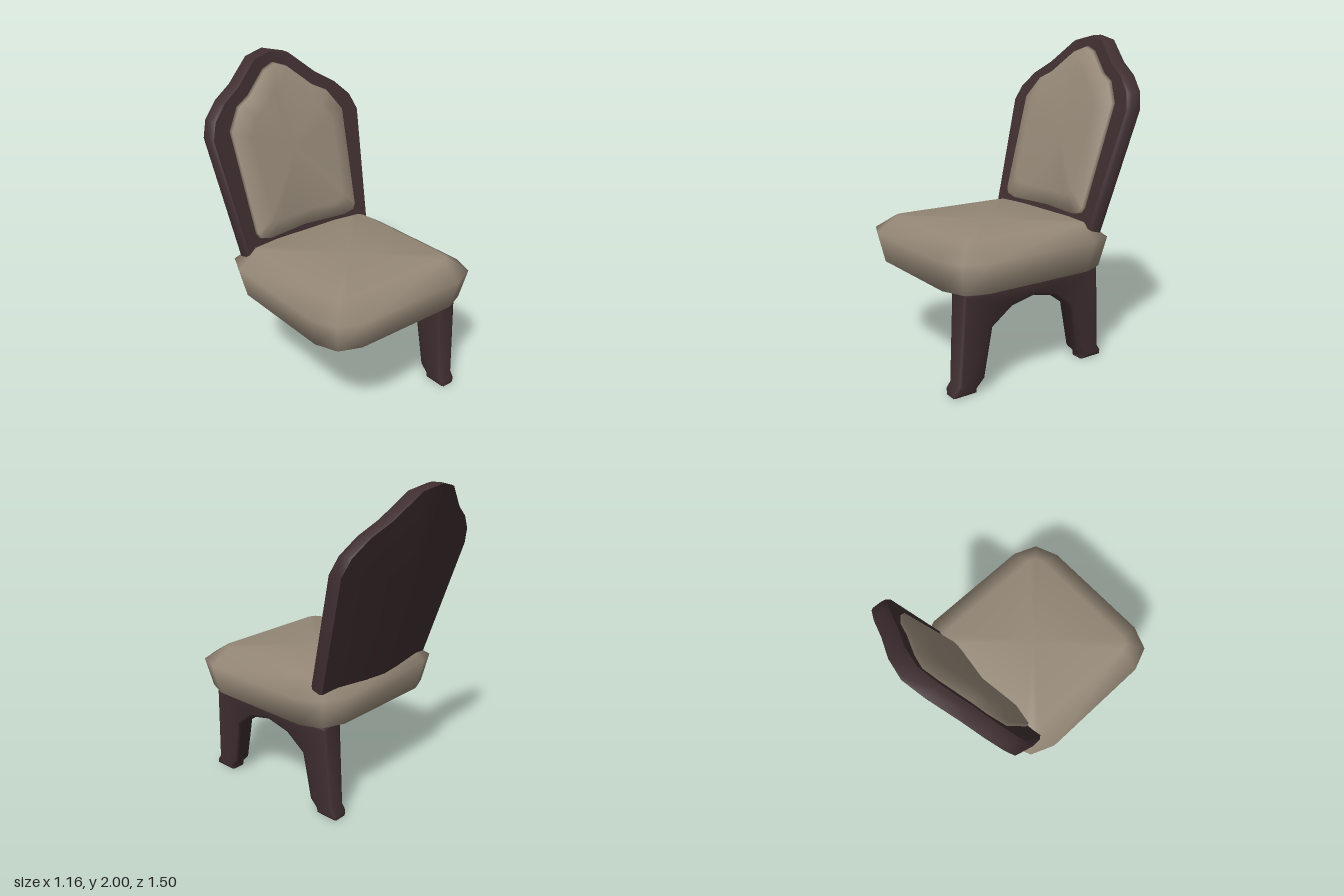
import * as THREE from 'three';
import { toCreasedNormals } from 'three/addons/utils/BufferGeometryUtils.js';

const fabric = new THREE.MeshStandardMaterial({ color: 0x958877 });
fabric.name = 'taupeFabric';
const wood = new THREE.MeshStandardMaterial({ color: 0x3f2e30 });
wood.name = 'darkWood';

// Skin matching loops of points, closing both ends with a fan around a centre point
function loft(loops, startCentre, endCentre) {
  const n = loops[0].length, last = (loops.length - 1) * n;
  const points = [...loops.flat(), startCentre, endCentre];
  const start = points.length - 2, end = points.length - 1;
  const index = [];
  for (let j = 0; j < n; j++) {
    const k = (j + 1) % n;
    for (let i = 0; i < last; i += n) {
      index.push(i + j, i + k, i + n + k, i + j, i + n + k, i + n + j);
    }
    index.push(start, k, j, end, last + j, last + k);
  }
  const geo = new THREE.BufferGeometry();
  geo.setAttribute('position', new THREE.Float32BufferAttribute(points.flat(), 3));
  geo.setIndex(index);
  geo.computeVertexNormals();
  return geo;
}

function add(group, name, geo, material) {
  const mesh = new THREE.Mesh(geo, material);
  mesh.name = name;
  group.add(mesh);
}

const SEAT_Z = 0.165;

// Square seat loop: half width h, corner start a, corner middle inset b
function seatLoop([y, h, a, b]) {
  const loop = [];
  for (let side = 0; side < 4; side++) {
    for (let [x, z] of [[h - a, h], [h - b, h - b], [h, h - a]]) {
      for (let r = 0; r < side; r++) [x, z] = [z, -x];
      loop.push([x, y, z + SEAT_Z]);
    }
  }
  return loop;
}

// Front surface of the backrest: leaning back and folded gently at the middle
const backZ = (x, y) => -0.225 - 0.31 * (y - 0.86) - 0.075 * (1 - Math.abs(x) / 0.58);

// Mirror a half outline, shrink it about (0, cy) and lay it on the backrest surface
function backLoop(half, cy, sx, sy, offset) {
  const mirrored = half.slice(1, -1).reverse().map(([x, y]) => [-x, y]);
  return [...half, ...mirrored].map(([x, y]) => {
    const px = x * sx, py = cy + (y - cy) * sy;
    return [px, py, backZ(px, py) + offset];
  });
}

export function createModel() {
  const chair = new THREE.Group();
  chair.name = 'chair';

  // Padded seat
  const seatLoops = [
    [0.58, 0.44, 0.03, 0.01],
    [0.61, 0.54, 0.19, 0.055],
    [0.795, 0.58, 0.21, 0.06],
    [0.88, 0.44, 0.06, 0.018],
  ].map(seatLoop);
  add(chair, 'seatCushion', loft(seatLoops, [0, 0.58, SEAT_Z], [0, 0.88, SEAT_Z]), fabric);

  // Wooden board under the seat
  const board = new THREE.BoxGeometry(0.89, 0.02, 0.89).translate(0, 0.586, SEAT_Z);
  add(chair, 'seatBase', board, wood);

  // Backrest panel with a peaked top
  const frame = [[0, 0.82], [0.495, 0.82], [0.58, 1.56], [0.54, 1.66], [0.44, 1.755],
    [0.31, 1.83], [0.14, 1.97], [0, 2]];
  const panel = loft([
    backLoop(frame, 1.4, 0.99, 0.995, -0.1),
    backLoop(frame, 1.4, 1, 1, -0.085),
    backLoop(frame, 1.4, 0.995, 0.998, -0.025),
    backLoop(frame, 1.4, 0.965, 0.985, 0),
  ], [0, 1.4, backZ(0, 1.4) - 0.1], [0, 1.4, backZ(0, 1.4)]);
  add(chair, 'backrestFrame', toCreasedNormals(panel, 0.9), wood);

  // Backrest padding
  const pad = [[0, 0.905], [0.305, 0.905], [0.38, 0.925], [0.4, 0.96], [0.435, 1.59],
    [0.345, 1.72], [0.25, 1.765], [0.09, 1.9], [0, 1.93]];
  const padding = loft([
    backLoop(pad, 1.4, 1, 1, -0.01),
    backLoop(pad, 1.4, 0.985, 0.985, 0.025),
    backLoop(pad, 1.4, 0.72, 0.77, 0.07),
  ], [0, 1.4, backZ(0, 1.4) - 0.01], [0, 1.4, backZ(0, 1.4) + 0.07]);
  add(chair, 'backrestPadding', padding, fabric);

  // Arched pair of legs on the left side, drawn as half an arch and mirrored
  const halfArch = [[0.485, 0.6], [0.515, 0.07], [0.54, 0.035], [0.54, 0], [0.39, 0],
    [0.39, 0.03], [0.34, 0.08], [0.287, 0.375], [0.157, 0.47]];
  const arch = [...halfArch, [0, 0.505], ...halfArch.slice().reverse().map(([z, y]) => [-z, y])];
  const shape = new THREE.Shape(arch.map(([z, y]) => new THREE.Vector2(z, y)));
  const legs = new THREE.ExtrudeGeometry(shape, {
    depth: 0.09, bevelThickness: 0.025, bevelSize: 0.022, bevelOffset: -0.022, bevelSegments: 2,
  });
  legs.rotateY(-Math.PI / 2).translate(0.045, 0, 0);
  // Taper the legs toward the feet
  const pos = legs.attributes.position;
  for (let i = 0; i < pos.count; i++) {
    pos.setX(i, 0.4 + pos.getX(i) * (0.8 + 0.33 * pos.getY(i)));
  }
  legs.translate(0, 0, SEAT_Z - 0.01);
  add(chair, 'leftLegs', toCreasedNormals(legs, 0.9), wood);

  return chair;
}
